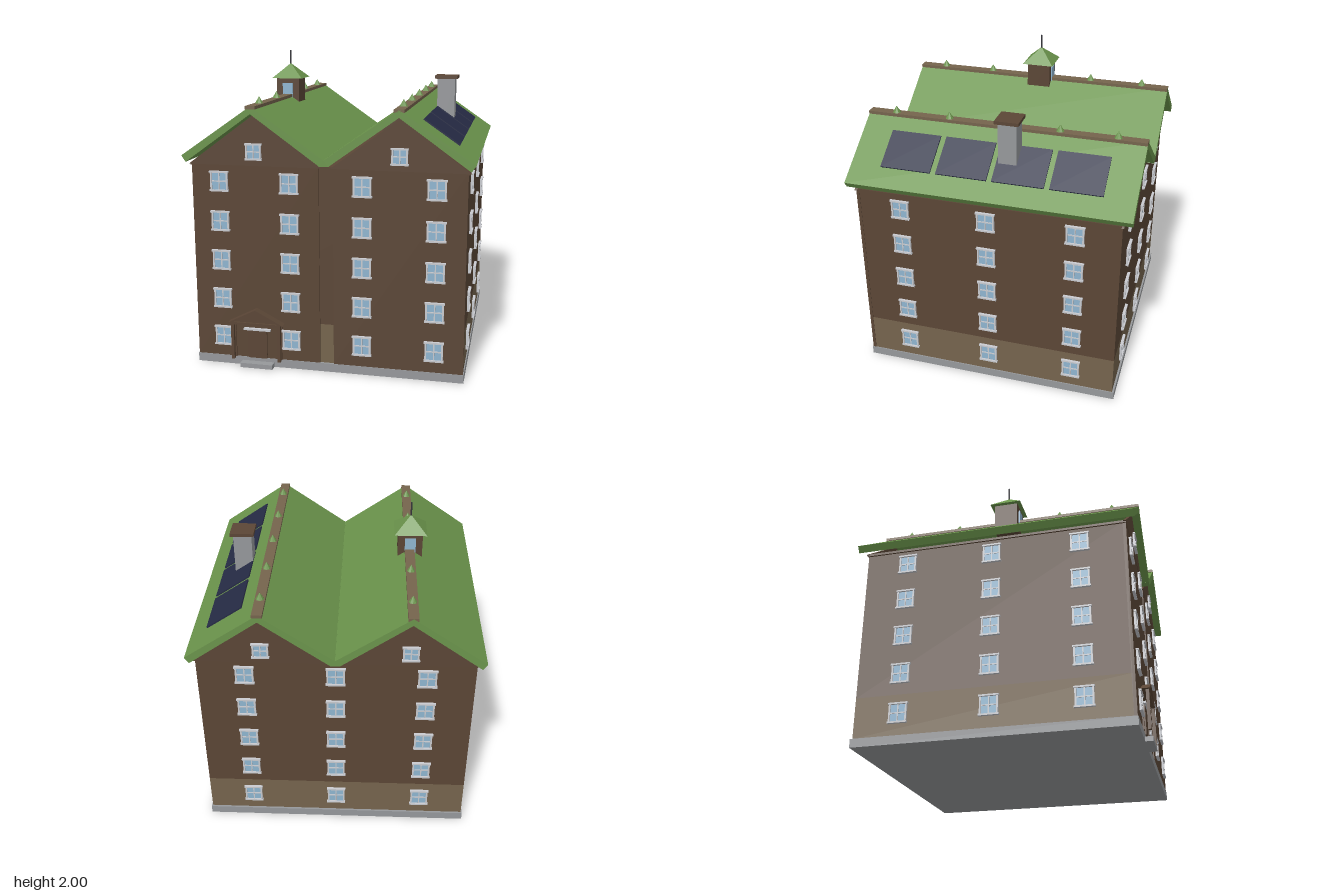
import * as THREE from 'three';

const paint = (name, color) => Object.assign(new THREE.MeshStandardMaterial({ color }), { name });
const brown = paint('dark timber', 0x5b4636);
const tan = paint('light timber', 0x75644d);
const green = paint('green roof', 0x6b944c);
const grey = paint('stone grey', 0x96989b);
const white = paint('window frame', 0xc9cbd0);
const glass = paint('window glass', 0x8fb5d0);
const navy = paint('solar panel', 0x262b45);
const iron = paint('dark iron', 0x35353b);

function add(parent, name, geometry, material) {
  const mesh = new THREE.Mesh(geometry, material);
  mesh.name = name;
  parent.add(mesh);
  return mesh;
}

// box given by its limits on each axis
function box(parent, name, material, x0, x1, y0, y1, z0, z1) {
  const mesh = add(parent, name, new THREE.BoxGeometry(x1 - x0, y1 - y0, z1 - z0), material);
  mesh.position.set((x0 + x1) / 2, (y0 + y1) / 2, (z0 + z1) / 2);
  return mesh;
}

// outline in x,y pulled along z from z0 to z1
function prism(parent, name, material, points, z0, z1) {
  const shape = new THREE.Shape(points.map(([x, y]) => new THREE.Vector2(x, y)));
  const geometry = new THREE.ExtrudeGeometry(shape, { depth: z1 - z0, bevelEnabled: false });
  geometry.translate(0, 0, z0);
  return add(parent, name, geometry, material);
}

// window facing +z, with its back on z = 0
function makeWindow(w, h) {
  const g = new THREE.Group();
  g.name = 'window';
  const a = w / 2, b = h / 2, t = 0.011;
  box(g, 'windowGlass', glass, -a + t, a - t, -b + t, b - t, 0, 0.006);
  for (const s of [-1, 1]) {
    const x = s * (a - t / 2), y = s * (b - t / 2);
    box(g, 'frameSide', white, x - t / 2, x + t / 2, -b, b, 0, 0.013);
    box(g, 'frameRail', white, -a - 0.005, a + 0.005, y - t / 2, y + t / 2, 0, 0.018);
  }
  box(g, 'mullion', white, -0.004, 0.004, -b + t, b - t, 0, 0.01);
  box(g, 'glazingBar', white, -a + t, a - t, -0.004, 0.004, 0, 0.01);
  return g;
}

export function createModel() {
  const model = new THREE.Group();
  model.name = 'house';
  const ridgeX = 0.457;

  // foundation and walls
  box(model, 'foundation', grey, -0.872, 0.872, 0, 0.055, -0.863, 0.865);
  box(model, 'lowerWall', tan, -0.865, 0.865, 0.055, 0.315, -0.85, 0.85);
  box(model, 'upperWall', brown, -0.865, 0.865, 0.315, 1.333, -0.85, 0.85);
  for (const s of [-1, 1]) {
    const inner = s * 0.045, outer = s * 0.868;
    box(model, 'frontFacade', brown, Math.min(inner, outer), Math.max(inner, outer), 0.055, 1.333, 0.84, 0.861);
    box(model, 'eaveBoard', brown, s * 0.87 - 0.006, s * 0.87 + 0.006, 1.318, 1.334, -0.855, 0.862);
    // gable walls, front and back
    const gable = [[s * ridgeX - 0.43, 1.325], [s * ridgeX + 0.43, 1.325], [s * ridgeX, 1.642]];
    prism(model, 'frontGable', brown, gable, 0.845, 0.864);
    prism(model, 'backGable', brown, gable, -0.86, -0.845);
  }

  // windows on all sides
  const main = makeWindow(0.115, 0.13), small = makeWindow(0.1, 0.105);
  const place = (source, x, y, z, turn) => {
    const w = source.clone();
    w.position.set(x, y, z);
    w.rotation.y = turn;
    model.add(w);
  };
  for (let i = 0; i < 5; i++) {
    const y = 0.195 + i * 0.2565;
    for (const x of [-0.688, -0.233, 0.228, 0.684]) place(main, x, y, 0.861, 0);
    for (const p of [-0.567, 0, 0.567]) {
      place(main, p, y, -0.85, Math.PI);
      place(main, 0.865, y, p, Math.PI / 2);
      place(main, -0.865, y, p, -Math.PI / 2);
    }
  }
  for (const x of [-ridgeX, ridgeX]) {
    place(small, x, 1.415, 0.864, 0);
    place(small, x, 1.415, -0.86, Math.PI);
  }

  // twin roofs with ridge boards and finials
  for (const x of [-ridgeX, ridgeX]) {
    prism(model, 'roof', green, [
      [x - 0.457, 1.385], [x - 0.43, 1.345], [x, 1.653],
      [x + 0.43, 1.345], [x + 0.457, 1.385], [x, 1.7],
    ], -0.914, 0.914);
    box(model, 'ridgeBoard', tan, x - 0.032, x + 0.032, 1.682, 1.702, -0.914, 0.914);
    for (let i = -2; i <= 2; i++) {
      const cone = add(model, 'ridgeFinial', new THREE.ConeGeometry(0.027, 0.045, 8).toNonIndexed(), green);
      cone.geometry.computeVertexNormals();
      cone.position.set(x, 1.7235, i * 0.365);
    }
  }
  // valley between the roofs
  prism(model, 'valley', green, [[-0.03, 1.345], [0.03, 1.345], [0.001, 1.386], [-0.001, 1.386]], -0.914, 0.914);

  // solar panels on the outer slope
  const roofY = x => 1.7 - (x - ridgeX) * 0.689;
  for (const z of [-0.55, -0.185, 0.178, 0.545]) {
    prism(model, 'solarPanel', navy, [
      [0.575, roofY(0.575) + 0.003], [0.798, roofY(0.798) + 0.003],
      [0.803, roofY(0.803) + 0.014], [0.58, roofY(0.58) + 0.014],
    ], z - 0.165, z + 0.165);
  }

  // chimney
  box(model, 'chimney', grey, 0.577, 0.697, 1.333, 1.816, -0.152, -0.034);
  box(model, 'chimneyCap', brown, 0.56, 0.715, 1.815, 1.836, -0.17, -0.017);

  // roof turret
  const turret = new THREE.Group();
  turret.name = 'turret';
  turret.position.x = -0.46;
  model.add(turret);
  box(turret, 'turretWall', brown, -0.08, 0.08, 1.6, 1.812, -0.08, 0.08);
  for (const s of [-1, 1]) {
    const pane = add(turret, 'turretWindow', new THREE.BoxGeometry(0.072, 0.1, 0.009), glass);
    pane.position.set(0, 1.728, s * 0.084);
  }
  const cap = new THREE.ConeGeometry(0.107 * Math.SQRT2, 0.1, 4).toNonIndexed();
  cap.rotateY(Math.PI / 4);
  cap.computeVertexNormals();
  add(turret, 'turretRoof', cap, green).position.y = 1.861;
  add(turret, 'pole', new THREE.CylinderGeometry(0.005, 0.005, 0.1, 8), iron).position.y = 1.95;

  // entrance porch
  const porch = new THREE.Group();
  porch.name = 'porch';
  porch.position.x = -0.46;
  model.add(porch);
  prism(porch, 'porchGable', brown, [[-0.155, 0.305], [0.155, 0.305], [0, 0.385]], 0.86, 0.9);
  prism(porch, 'porchRoof', brown, [
    [-0.182, 0.303], [-0.155, 0.303], [0, 0.382], [0.155, 0.303], [0.182, 0.303], [0, 0.396],
  ], 0.86, 0.914);
  for (const s of [-1, 1]) {
    box(porch, 'porchPost', brown, s * 0.155 - 0.01, s * 0.155 + 0.01, 0.055, 0.31, 0.892, 0.912);
    box(porch, 'porchPilaster', brown, s * 0.155 - 0.01, s * 0.155 + 0.01, 0.055, 0.31, 0.86, 0.87);
  }
  box(porch, 'porchBeam', brown, -0.165, 0.165, 0.29, 0.307, 0.89, 0.912);
  box(porch, 'door', brown, -0.063, 0.063, 0.055, 0.245, 0.86, 0.872);
  box(porch, 'doorLintel', white, -0.09, 0.09, 0.245, 0.258, 0.86, 0.882);
  box(porch, 'doorStep', grey, -0.108, 0.108, 0, 0.03, 0.86, 0.914);

  return model;
}
